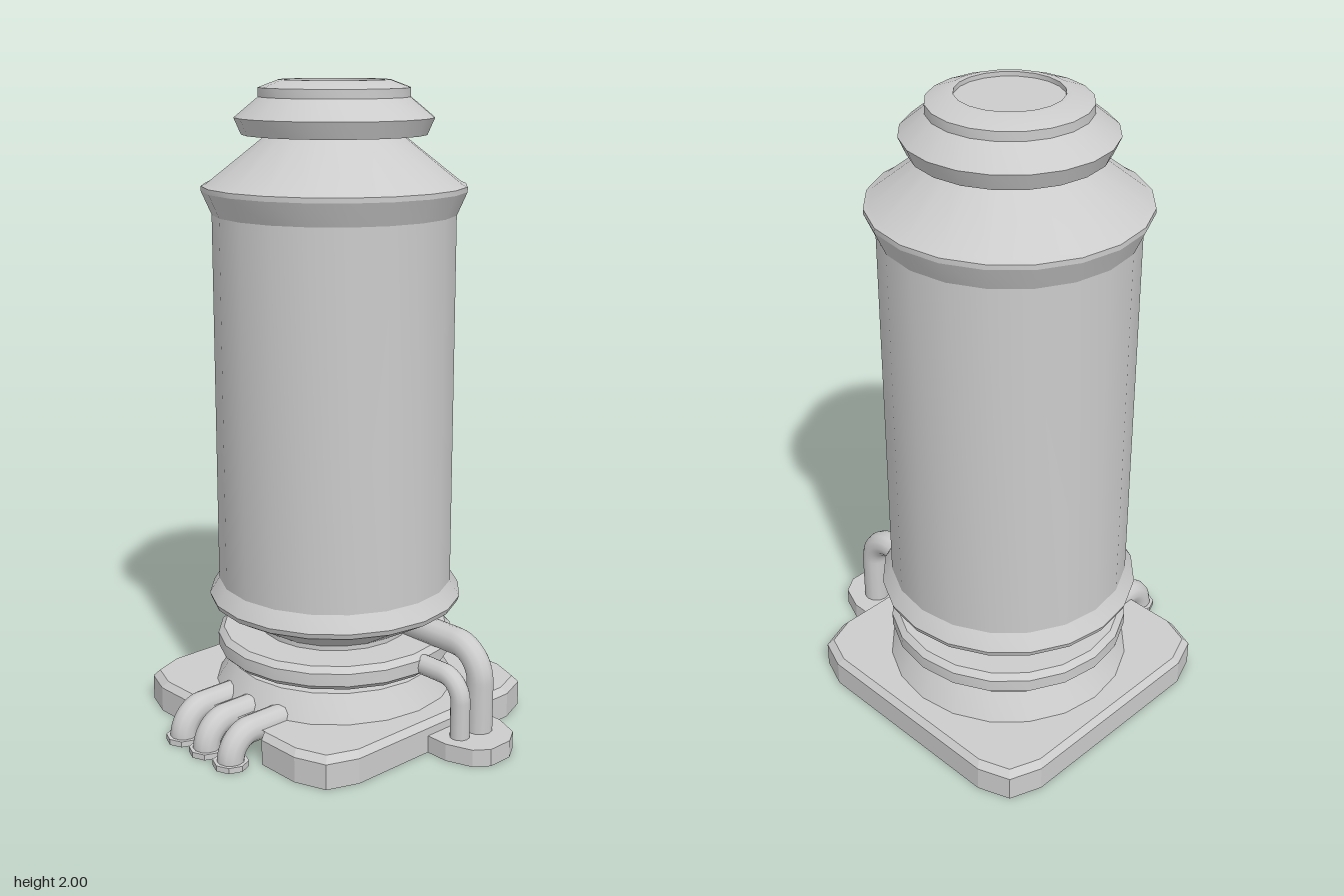
import * as THREE from 'three';
import { toCreasedNormals } from 'three/addons/utils/BufferGeometryUtils.js';

const CX = 0.063, CZ = -0.095; // axis of the tower and base

export function createModel() {
  const group = new THREE.Group();
  const mat = new THREE.MeshStandardMaterial({ color: 0xcccccc });
  const openMat = new THREE.MeshStandardMaterial({ color: 0xcccccc, side: THREE.DoubleSide });

  const add = (name, geo, x = 0, y = 0, z = 0, m = mat) => {
    const mesh = new THREE.Mesh(geo, m);
    mesh.name = name;
    mesh.position.set(x, y, z);
    group.add(mesh);
  };

  const toShape = (outline) => new THREE.Shape(outline.map(([x, z]) => new THREE.Vector2(x, -z)));

  // Turned part with sharp rings and smooth sides
  const turned = (name, profile) => {
    const pts = profile.map(([r, y]) => new THREE.Vector2(r, y));
    add(name, toCreasedNormals(new THREE.LatheGeometry(pts, 20), 0.4), CX, 0, CZ, openMat);
  };

  // Base outline with two-step corners, open at the pipe gap in the -x side
  const h = 0.461, c = 0.135, d = 0.037;
  const corner = [[h, h - c], [h - d, h - d], [h - c, h]];
  const flip = (sx, sz) => corner.map(([x, z]) => [x * sx, z * sz]);
  const outline = [
    [-h, 0.177],
    ...flip(-1, 1),
    ...flip(1, 1).reverse(),
    ...flip(1, -1),
    ...flip(-1, -1).reverse(),
    [-h, -0.187],
  ];
  const inset = outline.map(([x, z]) => [x * 0.963, z * 0.963]);

  // Hollow base: walls and bevel as strips, then the top sheet
  const strip = (name, low, y0, high, y1) => {
    const verts = [];
    for (let i = 0; i < low.length - 1; i++) {
      const [a, b, e, f] = [[low[i], y0], [low[i + 1], y0], [high[i + 1], y1], [high[i], y1]]
        .map(([[x, z], y]) => [x, y, z]);
      verts.push(...a, ...b, ...e, ...a, ...e, ...f);
    }
    const geo = new THREE.BufferGeometry();
    geo.setAttribute('position', new THREE.Float32BufferAttribute(verts, 3));
    geo.computeVertexNormals();
    add(name, geo, CX, 0, CZ, openMat);
  };
  strip('baseWall', outline, 0, outline, 0.08);
  strip('baseBevel', outline, 0.08, inset, 0.1);
  add('baseTop', new THREE.ShapeGeometry(toShape(inset)).rotateX(-Math.PI / 2), CX, 0.1, CZ, openMat);

  // Tower, from the foot up
  turned('foot', [[0.385, 0.1], [0.335, 0.18], [0.265, 0.18], [0.265, 0.21]]);
  turned('lowerCollar', [
    [0.26, 0.205], [0.36, 0.205], [0.378, 0.222], [0.378, 0.262], [0.36, 0.28], [0.24, 0.28], [0.24, 0.3],
  ]);
  turned('body', [
    [0.24, 0.295], [0.397, 0.383], [0.403, 0.4], [0.372, 0.45],
    [0.372, 1.605], [0.403, 1.675], [0.403, 1.69], [0.387, 1.697], [0.205, 1.84],
  ]);
  turned('cap', [
    [0.2, 1.84], [0.28, 1.84], [0.302, 1.89], [0.229, 1.95], [0.229, 1.977],
    [0.168, 2], [0.151, 2], [0.151, 1.987], [0, 1.987],
  ]);

  // Pipe rising from the floor and bending to run level into the tower
  const pipe = (name, foot, rise, bend, end, radius) => {
    const dir = end.clone().sub(foot).setY(0).normalize();
    const elbow = foot.clone().setY(rise);
    const a = elbow.clone().setY(rise - bend);
    const b = elbow.clone().addScaledVector(dir, bend);
    const mid = bend * 0.45;
    const path = new THREE.CurvePath();
    path.add(new THREE.LineCurve3(foot, a));
    path.add(new THREE.CubicBezierCurve3(
      a, elbow.clone().setY(rise - mid), elbow.clone().addScaledVector(dir, mid), b));
    path.add(new THREE.LineCurve3(b, end.clone().setY(rise)));
    add(name, new THREE.TubeGeometry(path, 40, radius, 12), 0, 0, 0, openMat);
  };
  const v = (x, y, z) => new THREE.Vector3(x, y, z);

  // Three side pipes with eight-sided flanges
  for (const z of [-0.21, -0.094, 0.023]) {
    pipe('sidePipe', v(-0.47, 0.005, z), 0.095, 0.078, v(-0.27, 0, z), 0.042);
    add('sidePipeFlange', toCreasedNormals(new THREE.CylinderGeometry(0.055, 0.055, 0.018, 8), 0.4), -0.47, 0.009, z);
  }

  // Front plate with a tall and a short pipe
  const plate = toShape([
    [0.27, 0.33], [0.27, 0.44], [0.238, 0.522], [0.185, 0.556],
    [0.1, 0.556], [0.055, 0.522], [0.025, 0.44], [0.025, 0.33],
  ]);
  add('frontPlate', new THREE.ExtrudeGeometry(plate, { depth: 0.055, bevelEnabled: false }).rotateX(-Math.PI / 2));
  pipe('tallFrontPipe', v(0.175, 0.02, 0.438), 0.315, 0.1, v(0.175, 0, 0.08), 0.042);
  pipe('shortFrontPipe', v(0.094, 0.02, 0.433), 0.24, 0.07, v(0.094, 0, 0.22), 0.031);

  return group;
}
